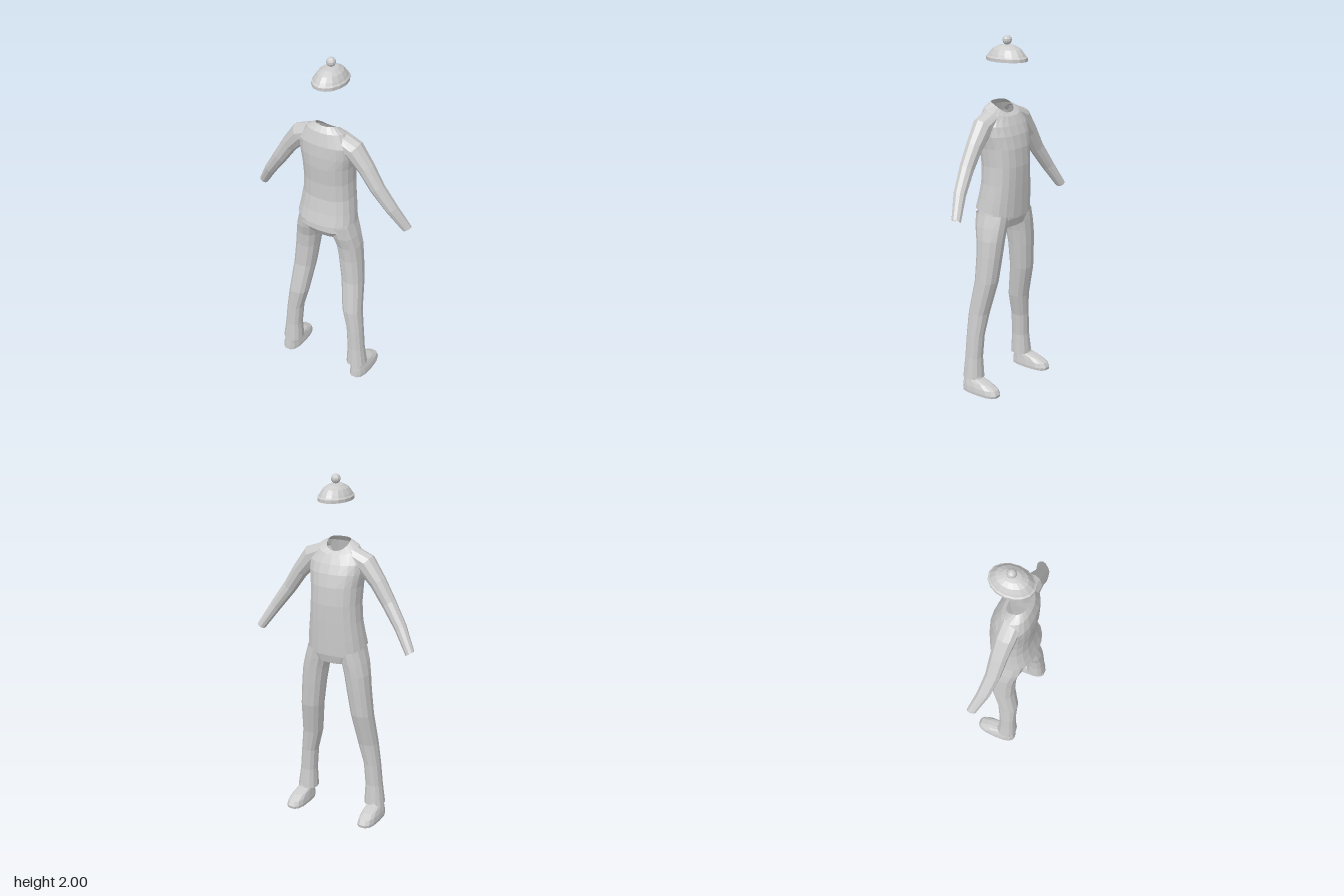
import * as THREE from 'three';

const cloth = new THREE.MeshStandardMaterial({ color: 0xcccccc, flatShading: true, side: THREE.DoubleSide });
cloth.name = 'light grey';

// Skin a list of equal-length point rings; mirror = -1 builds the other side
function loft(name, rings, { mirror = 1, capStart = false } = {}) {
  const n = rings[0].length, pos = [], idx = [];
  const tri = (a, b, c) => (mirror > 0 ? idx.push(a, b, c) : idx.push(a, c, b));
  rings.forEach(r => r.forEach(p => pos.push(p.x * mirror, p.y, p.z)));
  for (let k = 0; k < rings.length - 1; k++) {
    for (let i = 0; i < n; i++) {
      const a = k * n + i, b = k * n + (i + 1) % n;
      tri(a, a + n, b);
      tri(b, a + n, b + n);
    }
  }
  if (capStart) for (let i = 1; i < n - 1; i++) tri(0, i, i + 1);
  const g = new THREE.BufferGeometry();
  g.setAttribute('position', new THREE.Float32BufferAttribute(pos, 3));
  g.setIndex(idx);
  g.computeVertexNormals();
  const mesh = new THREE.Mesh(g, cloth);
  mesh.name = name;
  return mesh;
}

// Rounded horizontal ring; slope tilts it along z, lift raises its sides
function ring(y, x0, x1, zBack, zFront, { n = 16, power = 0.85, slope = 0, lift = 0 } = {}) {
  const cx = (x0 + x1) / 2, rx = (x1 - x0) / 2, cz = (zBack + zFront) / 2, rz = (zBack - zFront) / 2;
  const soft = t => Math.sign(t) * Math.pow(Math.abs(t), power);
  return Array.from({ length: n }, (_, i) => {
    const a = (i / n) * Math.PI * 2, c = Math.cos(a), s = Math.sin(a);
    const dz = rz * soft(s);
    return new THREE.Vector3(cx + rx * soft(c), y + slope * dz + lift * c * c, cz + dz);
  });
}

function shirtBody() {
  // y, half width, back z, front z, slope, side lift
  const rows = [
    [1.03, 0.17, 0.137, -0.117, 0.13, 0.02],
    [1.11, 0.162, 0.12, -0.121, 0.06, 0],
    [1.2, 0.15, 0.106, -0.125, 0, 0],
    [1.3, 0.144, 0.107, -0.127, 0, 0],
    [1.4, 0.148, 0.117, -0.12, 0, 0],
    [1.47, 0.16, 0.118, -0.104, 0, 0],
    [1.53, 0.162, 0.114, -0.083, 0.1, 0],
    [1.588, 0.115, 0.094, -0.058, 0.28, 0.015],
    [1.612, 0.065, 0.07, -0.038, 0.52, 0.015],
  ];
  return loft('shirtBody', rows.map(([y, w, b, f, slope, lift]) =>
    ring(y, -w, w, b, f, { n: 20, slope, lift })));
}

function sleeve(mirror) {
  // x, y, z, radius across the arm, radius along z
  const rows = [
    [0.08, 1.562, 0.02, 0.05, 0.06],
    [0.165, 1.522, 0.02, 0.06, 0.057],
    [0.24, 1.43, 0.016, 0.047, 0.048],
    [0.307, 1.325, 0.013, 0.041, 0.042],
    [0.39, 1.205, -0.008, 0.034, 0.037],
    [0.466, 1.083, -0.046, 0.026, 0.028],
  ];
  const pts = rows.map(r => new THREE.Vector3(r[0], r[1], r[2]));
  const v = new THREE.Vector3(0, 0, 1);
  const rings = rows.map((r, k) => {
    const t = pts[Math.min(k + 1, 5)].clone().sub(pts[Math.max(k - 1, 0)]);
    const u = t.cross(v).normalize();
    return Array.from({ length: 10 }, (_, i) => {
      const a = (i / 10) * Math.PI * 2;
      return pts[k].clone().addScaledVector(u, r[3] * Math.cos(a)).addScaledVector(v, r[4] * Math.sin(a));
    });
  });
  return loft(mirror > 0 ? 'leftSleeve' : 'rightSleeve', rings, { mirror });
}

function pelvis() {
  const rows = [
    [0.94, 0.075, 0.05, -0.055],
    [0.955, 0.13, 0.092, -0.088],
    [1.0, 0.172, 0.122, -0.1],
    [1.04, 0.163, 0.12, -0.103],
    [1.1, 0.15, 0.1, -0.1],
  ];
  return loft('pelvis', rows.map(([y, w, b, f]) => ring(y, -w, w, b, f)), { capStart: true });
}

function trouserLeg(mirror) {
  // y, inner x, outer x, back z, front z
  const rows = [
    [0.08, 0.163, 0.28, 0.105, -0.01],
    [0.2, 0.168, 0.264, 0.097, 0],
    [0.33, 0.158, 0.252, 0.095, -0.005],
    [0.46, 0.125, 0.237, 0.095, -0.02],
    [0.65, 0.097, 0.222, 0.065, -0.065],
    [0.8, 0.076, 0.209, 0.065, -0.08],
    [0.89, 0.062, 0.2, 0.075, -0.087],
    [0.96, 0.045, 0.185, 0.095, -0.092],
    [1.03, 0.03, 0.165, 0.105, -0.095],
  ];
  return loft(mirror > 0 ? 'leftTrouserLeg' : 'rightTrouserLeg',
    rows.map(r => ring(...r, { n: 12 })), { mirror });
}

function shoe(mirror) {
  const rows = [
    [0, 0.182, 0.286, 0.105, -0.138],
    [0.015, 0.181, 0.287, 0.105, -0.141],
    [0.04, 0.185, 0.283, 0.103, -0.127],
    [0.063, 0.189, 0.275, 0.1, -0.078],
    [0.08, 0.192, 0.268, 0.098, -0.012],
    [0.13, 0.195, 0.255, 0.088, 0.01],
  ];
  return loft(mirror > 0 ? 'leftShoe' : 'rightShoe',
    rows.map(r => ring(...r, { n: 14, power: 0.72 })), { mirror, capStart: true });
}

// Hollow oval cap with a rolled band and a bobble on top
function cap() {
  const group = new THREE.Group();
  group.name = 'cap';
  const profile = [
    [0, 1.935], [0.075, 1.915], [0.107, 1.868], [0.124, 1.865], [0.124, 1.883], [0.114, 1.89],
    [0.106, 1.902], [0.085, 1.926], [0.05, 1.944], [0, 1.952],
  ].map(p => new THREE.Vector2(...p));
  const dome = new THREE.Mesh(new THREE.LatheGeometry(profile, 16).scale(0.73, 1, 1), cloth);
  dome.name = 'capDome';
  dome.position.z = -0.016;
  const bobble = new THREE.Mesh(new THREE.SphereGeometry(0.026, 10, 7), cloth);
  bobble.name = 'capBobble';
  bobble.position.set(0, 1.974, -0.018);
  group.add(dome, bobble);
  return group;
}

export function createModel() {
  const model = new THREE.Group();
  model.name = 'outfit';
  model.add(cap(), shirtBody(), pelvis());
  for (const side of [1, -1]) model.add(sleeve(side), trouserLeg(side), shoe(side));
  return model;
}
